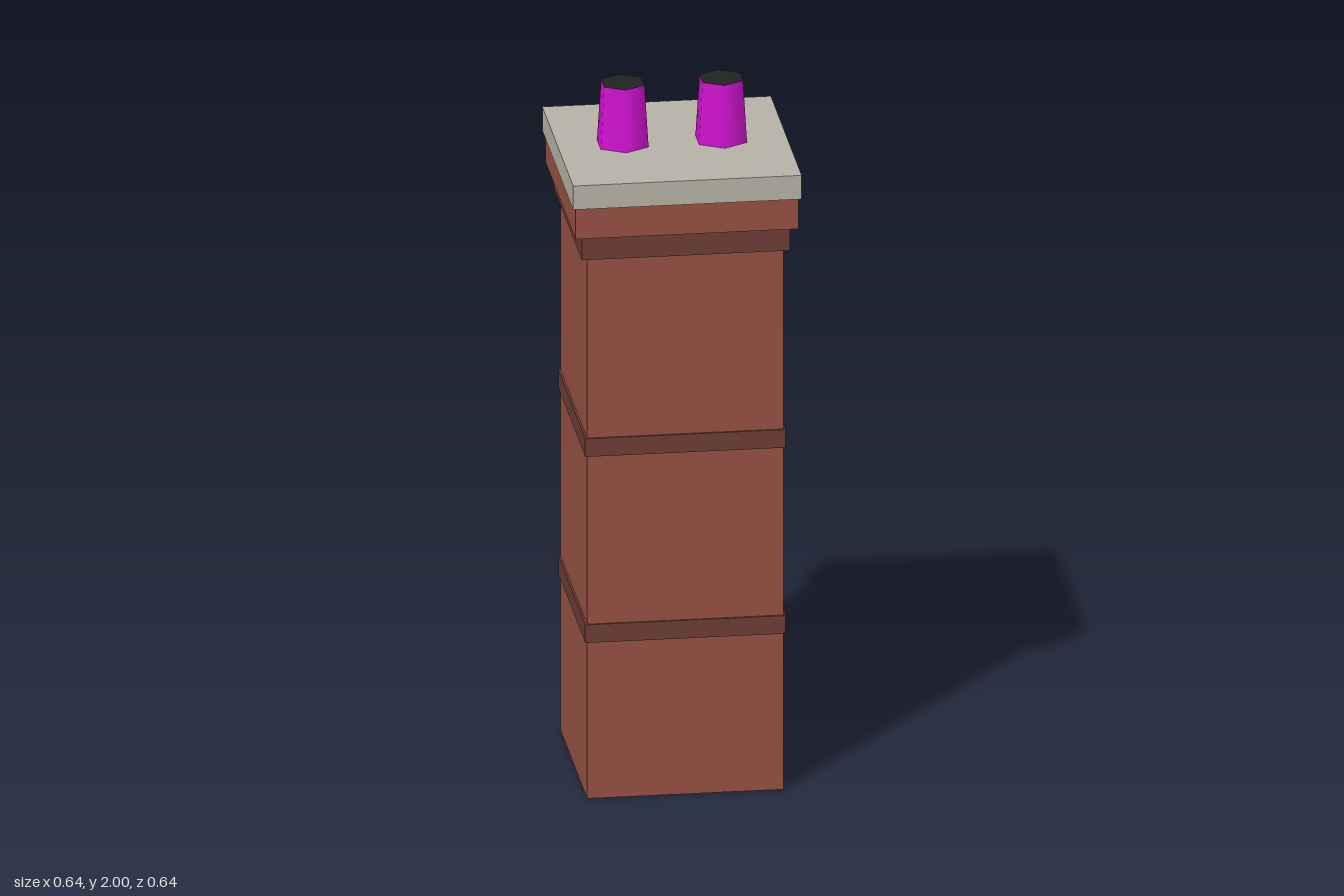
import * as THREE from 'three';

const paint = (name, color, side = THREE.FrontSide) => {
  const m = new THREE.MeshStandardMaterial({ color, side });
  m.name = name;
  return m;
};

export function createModel() {
  const brick = paint('brick', 0x955041, THREE.DoubleSide);
  const darkBrick = paint('dark brick', 0x6b3c34);
  const stone = paint('stone', 0xb5b1a5);
  const magenta = paint('magenta pot', 0xd012d0, THREE.DoubleSide);
  const soot = paint('soot', 0x222222);

  const model = new THREE.Group();
  model.name = 'chimney';

  const add = (name, geometry, material, x, y) => {
    const mesh = new THREE.Mesh(geometry, material);
    mesh.name = name;
    mesh.position.set(x, y, 0);
    model.add(mesh);
  };

  // Square course from y0 to y1
  const course = (name, half, y0, y1, material) =>
    add(name, new THREE.BoxGeometry(half * 2, y1 - y0, half * 2), material, 0, (y0 + y1) / 2);

  // Hollow shaft: a box with its bottom face left out
  const shaft = new THREE.BoxGeometry(0.546, 1.75, 0.546);
  const faces = Array.from(shaft.index.array);
  faces.splice(18, 6);
  shaft.setIndex(faces);
  shaft.clearGroups();
  add('shaft', shaft, brick, 0, 0.875);

  // Projecting bands, corbels and capping slab
  course('lowerBand', 0.279, 0.46, 0.513, darkBrick);
  course('upperBand', 0.279, 1.007, 1.06, darkBrick);
  course('lowerCorbel', 0.29, 1.59, 1.66, darkBrick);
  course('upperCorbel', 0.31, 1.66, 1.75, brick);
  course('cappingSlab', 0.318, 1.75, 1.82, stone);

  // Two tapered six-sided pots with sooty mouths
  for (const [side, x] of [['left', 0.137], ['right', -0.137]]) {
    add(side + 'Pot', new THREE.CylinderGeometry(0.065, 0.077, 0.18, 6, 1, true), magenta, x, 1.91);
    const mouth = new THREE.CircleGeometry(0.065, 6, Math.PI / 2).rotateX(-Math.PI / 2);
    add(side + 'PotMouth', mouth, soot, x, 2);
  }

  return model;
}
